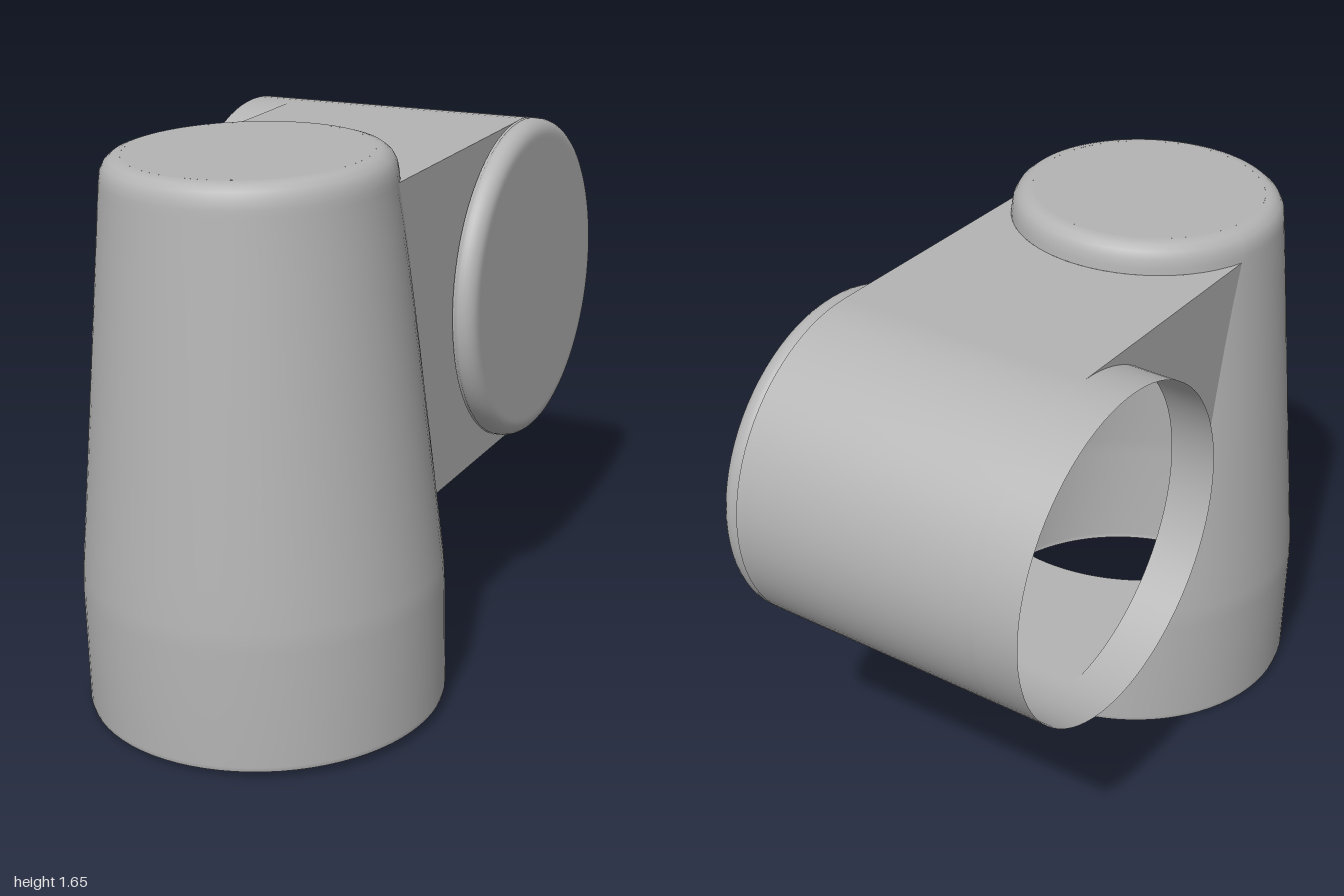
import * as THREE from 'three';
import { mergeVertices } from 'three/addons/utils/BufferGeometryUtils.js';

const HALF = 0.395;                 // half width of the connecting arm
const CY = 1.042, CZ = -0.97, CR = 0.498; // centre and radius of the cross cylinder
const BOTTOM = CY - CR, TOP = CY + CR;

// radius of the tapering column at height y
const columnRadius = (y) => 0.525 - 0.113 * (y - 0.42) / 1.14;
// back of the column at a given height and x
const columnBack = (x, y) => -Math.sqrt(columnRadius(y) ** 2 - x * x);

// smooth grid surface from a point rule, with optional skipped cells
function surface(nu, nv, point, skip = () => false) {
  const pos = [], idx = [];
  for (let j = 0; j <= nv; j++) for (let i = 0; i <= nu; i++) pos.push(...point(i, j));
  for (let j = 0; j < nv; j++) for (let i = 0; i < nu; i++) {
    if (skip(i, j)) continue;
    const a = j * (nu + 1) + i, b = a + 1, d = a + nu + 1, c = d + 1;
    idx.push(a, b, d, b, c, d);
  }
  let g = new THREE.BufferGeometry();
  g.setAttribute('position', new THREE.Float32BufferAttribute(pos, 3));
  g.setIndex(idx);
  g = mergeVertices(g, 1e-5);
  g.computeVertexNormals();
  return g;
}

export function createModel() {
  const model = new THREE.Group();
  const link = new THREE.Group();
  link.name = 'robotArmLink';
  const grey = new THREE.MeshStandardMaterial({ color: 0xb4b4b4, side: THREE.DoubleSide });
  grey.name = 'plain grey';
  const add = (name, geometry) => {
    const m = new THREE.Mesh(geometry, grey);
    m.name = name;
    link.add(m);
    return m;
  };

  // Tapered column, open below, with an opening at the back for the arm
  const rows = [[0.524, 0], [0.528, 0.015], [0.528, 0.2], [0.528, 0.36], [0.525, 0.42]];
  const first = rows.length, steps = 8;
  for (let k = 0; k <= steps; k++) {
    const y = BOTTOM + (TOP - BOTTOM) * k / steps;
    rows.push([columnRadius(y), y]);
  }
  rows.push([0.412, 1.56], [0.408, 1.585], [0.397, 1.606], [0.38, 1.62], [0.365, 1.625], [0.35, 1.626]);
  const nb = 24, nf = 56;
  add('column', surface(nb + nf, rows.length - 1, (i, j) => {
    const [r, y] = rows[j];
    const a = Math.asin(Math.min(0.96, HALF / r));
    const t = i <= nb ? -a + 2 * a * i / nb : a + (2 * Math.PI - 2 * a) * (i - nb) / nf;
    return [-r * Math.sin(t), y, -r * Math.cos(t)];
  }, (i, j) => i < nb && j >= first && j < first + steps));

  const lid = add('columnTop', new THREE.CircleGeometry(0.35, 72));
  lid.rotation.x = -Math.PI / 2;
  lid.position.y = 1.626;

  // Arm wall: flat top, round back and flat underside in one strip
  const arc = 40;
  add('armWall', surface(arc + 2, 24, (i, j) => {
    const x = HALF - 2 * HALF * j / 24;
    if (i === 0) return [x, TOP, columnBack(x, TOP)];
    if (i === arc + 2) return [x, BOTTOM, columnBack(x, BOTTOM)];
    const t = Math.PI * (i - 1) / arc;
    return [x, CY + CR * Math.cos(t), CZ - CR * Math.sin(t)];
  }));

  // Flat arm sides between the column and the cross cylinder
  for (const s of [1, -1]) {
    const pts = [];
    for (let k = 0; k <= steps; k++) {
      const y = TOP + (BOTTOM - TOP) * k / steps;
      pts.push(new THREE.Vector2(-s * columnBack(HALF, y), y));
    }
    for (let k = 0; k <= arc; k++) {
      const t = Math.PI * k / arc;
      pts.push(new THREE.Vector2(-s * (CZ + CR * Math.sin(t)), CY - CR * Math.cos(t)));
    }
    const side = add(s > 0 ? 'armSideLeft' : 'armSideRight', new THREE.ShapeGeometry(new THREE.Shape(pts)));
    side.rotation.y = s * Math.PI / 2;
    side.position.x = s * HALF;
  }

  // Open collar of the cross cylinder
  const collar = add('openCollar', new THREE.CylinderGeometry(CR, CR, 0.14, 80, 1, true));
  collar.rotation.z = Math.PI / 2;
  collar.position.set(-HALF - 0.07, CY, CZ);

  // Rounded cap closing the other end
  const profile = [[CR - 0.002, 0.375], [CR - 0.012, 0.39], [CR, 0.402], [CR, 0.412]];
  for (let k = 1; k <= 6; k++) {
    const t = Math.PI / 2 * k / 6;
    profile.push([CR - 0.046 + 0.046 * Math.cos(t), 0.412 + 0.046 * Math.sin(t)]);
  }
  profile.push([0.44, 0.458], [0, 0.458]);
  const cap = add('endCap', new THREE.LatheGeometry(profile.map(([r, y]) => new THREE.Vector2(r, y)), 80));
  cap.rotation.z = -Math.PI / 2;
  cap.position.set(0, CY, CZ);

  // The whole link leans very slightly
  link.rotation.set(0, 0.012, 0.027);
  link.position.set(0.03, 0.016, 0.472);
  model.add(link);
  return model;
}
